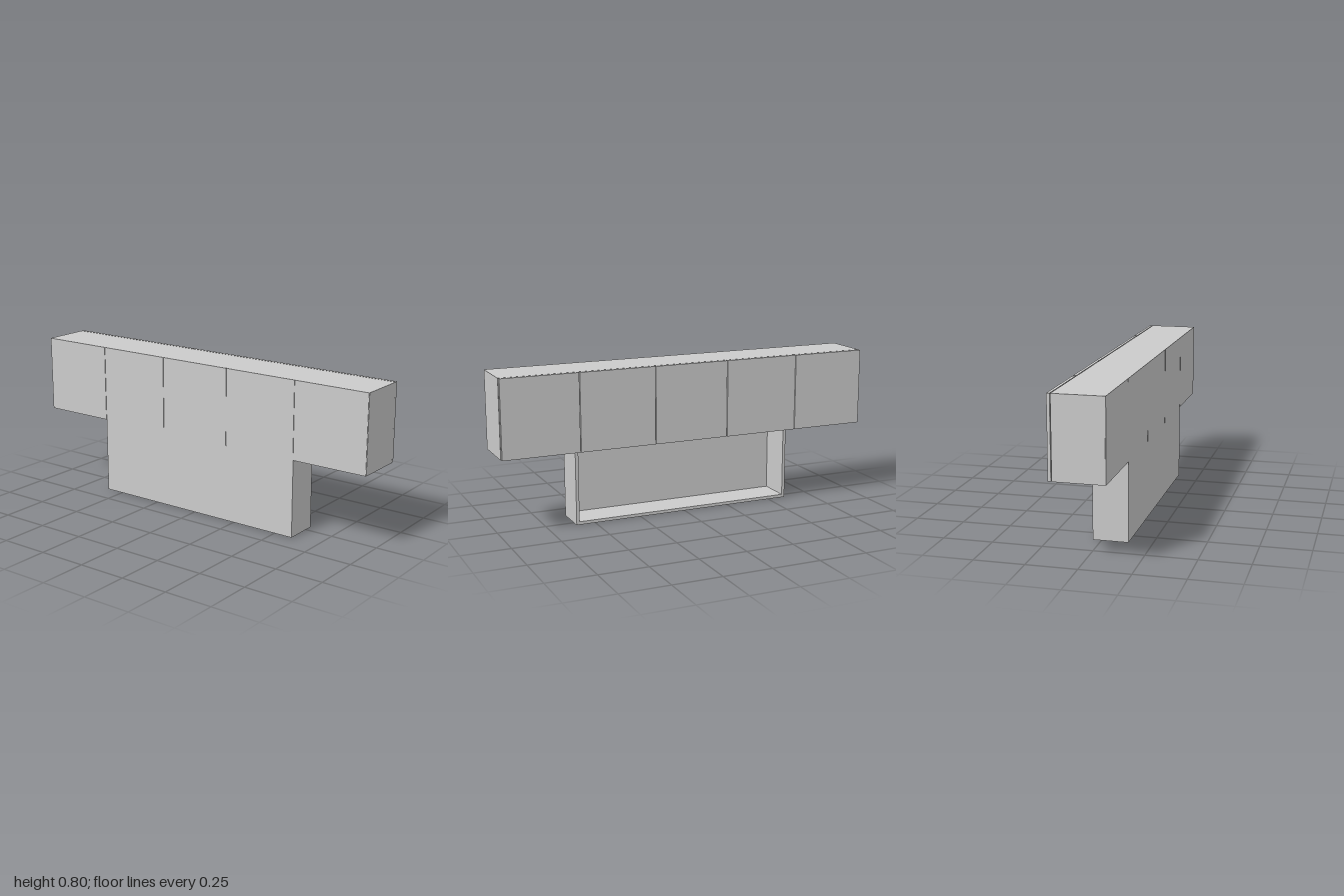
import * as THREE from 'three';

const material = new THREE.MeshStandardMaterial({ color: 0xcccccc });
const T = 0.016; // board thickness

// Box given by its min and max corners
function board(parent, name, [x0, y0, z0], [x1, y1, z1]) {
  const mesh = new THREE.Mesh(new THREE.BoxGeometry(x1 - x0, y1 - y0, z1 - z0), material);
  mesh.position.set((x0 + x1) / 2, (y0 + y1) / 2, (z0 + z1) / 2);
  mesh.name = name;
  parent.add(mesh);
}

// Hollow carcass open towards +x, with a thin back panel
function carcass(parent, xFront, y0, y1, z0, z1, gap) {
  const xBack = -0.134, x0 = xBack + 0.003;
  board(parent, 'bottomBoard', [x0, y0, z0], [xFront, y0 + T, z1]);
  board(parent, 'topBoard', [x0, y1 - T, z0 + T], [xFront, y1, z1 - T]);
  board(parent, 'sideBoard', [x0, y0 + T, z0], [xFront, y1, z0 + T]);
  board(parent, 'sideBoard', [x0, y0 + T, z1 - T], [xFront, y1, z1]);
  board(parent, 'backPanel', [xBack, y0, z0 + gap], [x0, y1, z1 - gap]);
}

export function createModel() {
  const model = new THREE.Group();
  model.name = 'wallCabinets';

  // Row of five closed cabinets, doors facing +x
  for (let i = 0; i < 5; i++) {
    const cabinet = new THREE.Group();
    cabinet.name = 'cabinet' + (i + 1);
    const z0 = -1 + i * 0.4, z1 = z0 + 0.4;
    carcass(cabinet, 0.115, 0.4, 0.8, z0, z1, 0.002);
    board(cabinet, 'door', [0.119, 0.401, z0 + 0.002], [0.134, 0.8, z1 - 0.002]);
    model.add(cabinet);
  }

  // Open shelf box hanging under the middle three cabinets
  const niche = new THREE.Group();
  niche.name = 'openShelf';
  carcass(niche, 0.043, 0, 0.4, -0.6, 0.6, 0);
  model.add(niche);

  return model;
}
